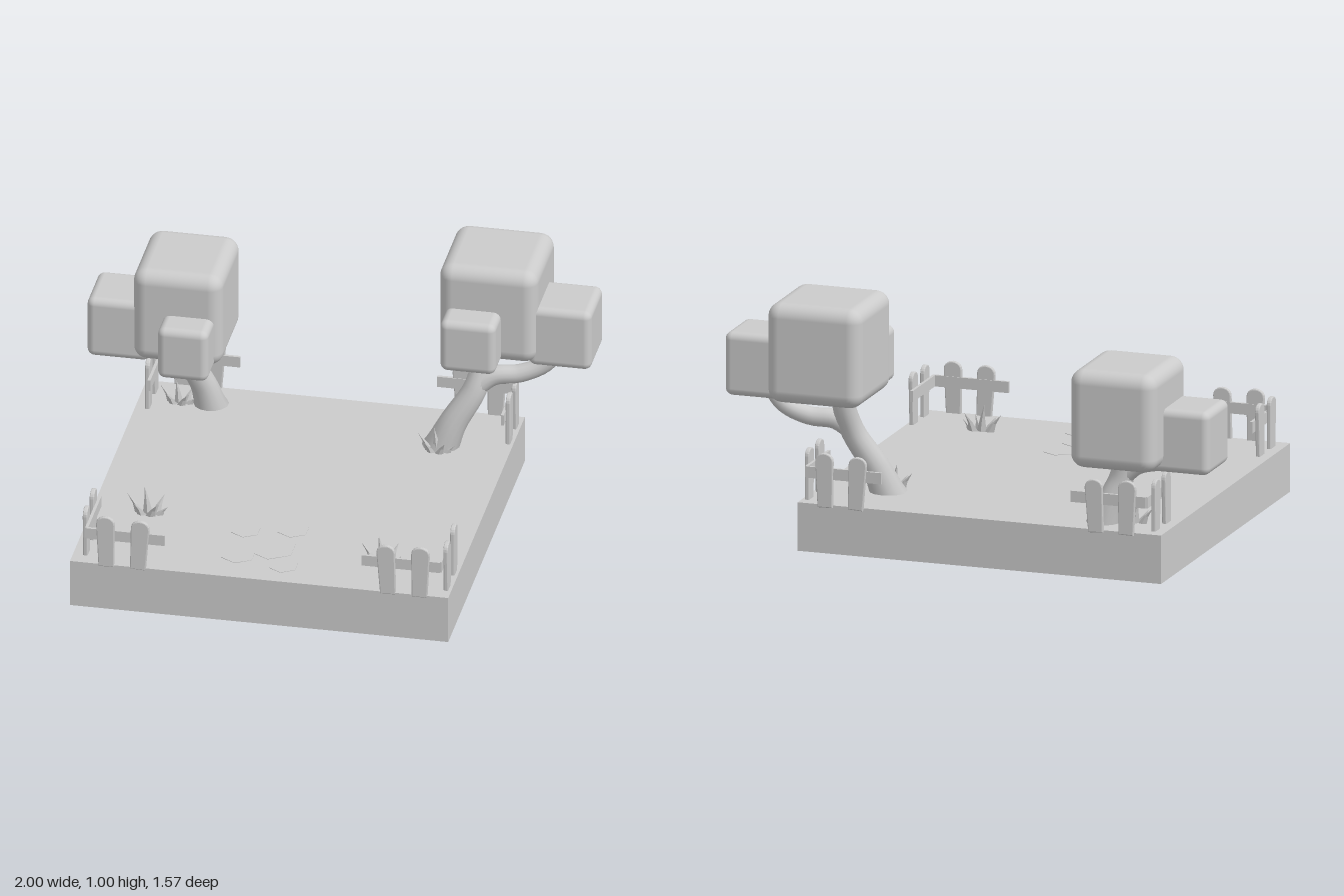
import * as THREE from 'three';
import { RoundedBoxGeometry } from 'three/addons/geometries/RoundedBoxGeometry.js';

const material = new THREE.MeshStandardMaterial({ color: 0xcccccc });
const bladeMaterial = new THREE.MeshStandardMaterial({ color: 0xcccccc, flatShading: true, side: THREE.DoubleSide });
const GROUND = 0.195;

function add(parent, name, geometry, x = 0, y = 0, z = 0, mat = material) {
  const mesh = new THREE.Mesh(geometry, mat);
  mesh.name = name;
  mesh.position.set(x, y, z);
  parent.add(mesh);
  return mesh;
}

function group(parent, name, x = 0, y = 0, z = 0) {
  const g = new THREE.Group();
  g.name = name;
  g.position.set(x, y, z);
  parent.add(g);
  return g;
}

// Tube along a smooth path, tapering from r0 to r1, with an optional flare at the foot
function taperedTube(points, r0, r1, flare = 0) {
  const curve = new THREE.CatmullRomCurve3(points.map(p => new THREE.Vector3(...p)));
  const rings = 20, sides = 14;
  const geo = new THREE.TubeGeometry(curve, rings, 1, sides);
  const pos = geo.attributes.position, v = new THREE.Vector3();
  for (let i = 0; i <= rings; i++) {
    const t = i / rings, c = curve.getPointAt(t);
    const r = r0 + (r1 - r0) * t + flare * (1 - t) ** 6;
    for (let j = 0; j <= sides; j++) {
      const k = i * (sides + 1) + j;
      v.fromBufferAttribute(pos, k).sub(c).multiplyScalar(r).add(c);
      pos.setXYZ(k, v.x, v.y, v.z);
    }
  }
  return geo;
}

// Rounded foliage block given by its min and max corners
function foliage(parent, name, min, max, radius) {
  const s = max.map((m, i) => m - min[i]);
  const c = max.map((m, i) => (m + min[i]) / 2);
  add(parent, name, new RoundedBoxGeometry(s[0], s[1], s[2], 4, radius), ...c);
}

// Picket with a rounded top, standing on y = 0 and facing z
function picketGeometry(w, h, d) {
  const s = new THREE.Shape();
  s.moveTo(-w * 0.42, 0);
  s.lineTo(w * 0.42, 0);
  s.lineTo(w / 2, h - w * 0.55);
  s.bezierCurveTo(w / 2, h + w * 0.05, -w / 2, h + w * 0.05, -w / 2, h - w * 0.55);
  s.closePath();
  const bevel = 0.004;
  return new THREE.ExtrudeGeometry(s, {
    depth: d - 2 * bevel, bevelThickness: bevel, bevelSize: bevel, bevelOffset: -bevel,
    bevelSegments: 2, curveSegments: 10,
  }).translate(0, 0, -d / 2 + bevel);
}

// Corner fence: one wing along x and one along z, running inward by (sx, sz)
function cornerFence(parent, name, x, z, sx, sz) {
  const fence = group(parent, name, x, GROUND, z);
  const xLength = 0.31, zLength = 0.26;
  add(fence, 'railAcross', new THREE.BoxGeometry(xLength, 0.045, 0.012), sx * xLength / 2, 0.125, 0);
  add(fence, 'railAlong', new THREE.BoxGeometry(0.012, 0.045, zLength), 0, 0.125, sz * zLength / 2);
  [[0.08, 0.215, 0.02], [0.205, 0.21, -0.05]].forEach(([d, h, tilt]) => {
    const p = add(fence, 'picketAcross', picketGeometry(0.073, h + 0.01, 0.018), sx * d, -0.01, -sz * 0.006);
    p.rotation.z = tilt * sx;
  });
  [[0.07, 0.21, 0.02], [0.195, 0.215, -0.03]].forEach(([d, h, tilt]) => {
    const p = add(fence, 'picketAlong', picketGeometry(0.066, h + 0.01, 0.018), -sx * 0.014, -0.01, sz * d);
    p.rotation.set(0, Math.PI / 2, tilt, 'YXZ');
  });
}

// Tuft of pointed blades: offset x, offset z, height, lean x, lean z
function grassTuft(parent, x, z, scale = 1) {
  const tuft = group(parent, 'grassTuft', x, GROUND - 0.005, z);
  tuft.scale.setScalar(scale);
  const blades = [
    [0, 0, 0.115, -0.015, -0.01], [-0.03, 0, 0.08, -0.055, -0.01], [0.03, -0.005, 0.08, 0.03, -0.025],
    [0.012, 0.02, 0.065, 0.03, 0.025], [-0.02, 0.015, 0.06, -0.03, 0.02], [0.04, 0.005, 0.045, 0.04, 0.005],
  ];
  for (const [bx, bz, h, lx, lz] of blades) {
    const geo = new THREE.ConeGeometry(0.021, h, 4, 2).translate(0, h / 2, 0).scale(1, 1, 0.55);
    const pos = geo.attributes.position;
    for (let i = 0; i < pos.count; i++) {
      const t = Math.max(0, pos.getY(i) / h) ** 1.4;
      pos.setXYZ(i, pos.getX(i) + lx * t, pos.getY(i), pos.getZ(i) + lz * t);
    }
    geo.computeVertexNormals();
    add(tuft, 'blade', geo, bx, 0, bz, bladeMaterial);
  }
}

export function createModel() {
  const model = new THREE.Group();
  model.name = 'gardenTile';

  // Ground slab
  add(model, 'groundSlab', new THREE.BoxGeometry(1.5, GROUND, 1.49), -0.07, GROUND / 2, 0.035);

  // Nearly flush paving stones near the front edge
  const paving = group(model, 'pavingStones');
  [[-0.07, 0.52, 0.095], [-0.19, 0.6, 0.07], [0.0, 0.65, 0.06], [-0.2, 0.4, 0.06], [-0.02, 0.36, 0.065]]
    .forEach(([x, z, r]) =>
      add(paving, 'pavingStone', new THREE.CylinderGeometry(r, r, 0.004, 6), x, GROUND, z));

  // Taller tree on the model's left
  const tall = group(model, 'tallTree');
  add(tall, 'trunk', taperedTube(
    [[0.40, 0.17, -0.43], [0.45, 0.29, -0.445], [0.53, 0.43, -0.48], [0.555, 0.54, -0.52], [0.56, 0.66, -0.55]],
    0.056, 0.042, 0.02));
  add(tall, 'branch', taperedTube(
    [[0.53, 0.44, -0.48], [0.6, 0.485, -0.5], [0.7, 0.495, -0.52], [0.8, 0.54, -0.54], [0.87, 0.64, -0.55]],
    0.042, 0.03));
  foliage(tall, 'crown', [0.4, 0.6, -0.785], [0.79, 1.0, -0.39], 0.055);
  foliage(tall, 'sideFoliage', [0.75, 0.585, -0.67], [1.0, 0.84, -0.42], 0.03);
  foliage(tall, 'frontFoliage', [0.43, 0.605, -0.49], [0.65, 0.825, -0.27], 0.03);

  // Shorter tree on the model's right
  const short = group(model, 'shortTree');
  add(short, 'trunk', taperedTube(
    [[-0.535, 0.17, -0.58], [-0.56, 0.27, -0.57], [-0.6, 0.37, -0.55], [-0.625, 0.5, -0.55]],
    0.054, 0.045, 0.02));
  add(short, 'branch', taperedTube(
    [[-0.6, 0.37, -0.55], [-0.67, 0.425, -0.55], [-0.77, 0.45, -0.55], [-0.86, 0.5, -0.55]],
    0.038, 0.03));
  foliage(short, 'crown', [-0.815, 0.45, -0.785], [-0.46, 0.845, -0.39], 0.055);
  foliage(short, 'sideFoliage', [-1.0, 0.435, -0.67], [-0.75, 0.69, -0.42], 0.03);
  foliage(short, 'frontFoliage', [-0.69, 0.45, -0.49], [-0.49, 0.67, -0.27], 0.03);

  // Fence at each corner
  cornerFence(model, 'frontLeftFence', 0.645, 0.766, -1, -1);
  cornerFence(model, 'frontRightFence', -0.757, 0.766, 1, -1);
  cornerFence(model, 'backLeftFence', 0.645, -0.705, -1, 1);
  cornerFence(model, 'backRightFence', -0.757, -0.705, 1, 1);

  // Grass
  grassTuft(model, -0.6, 0.34);
  grassTuft(model, 0.37, 0.545);
  grassTuft(model, 0.4, -0.375, 0.9);
  grassTuft(model, -0.66, -0.56, 0.9);

  return model;
}
